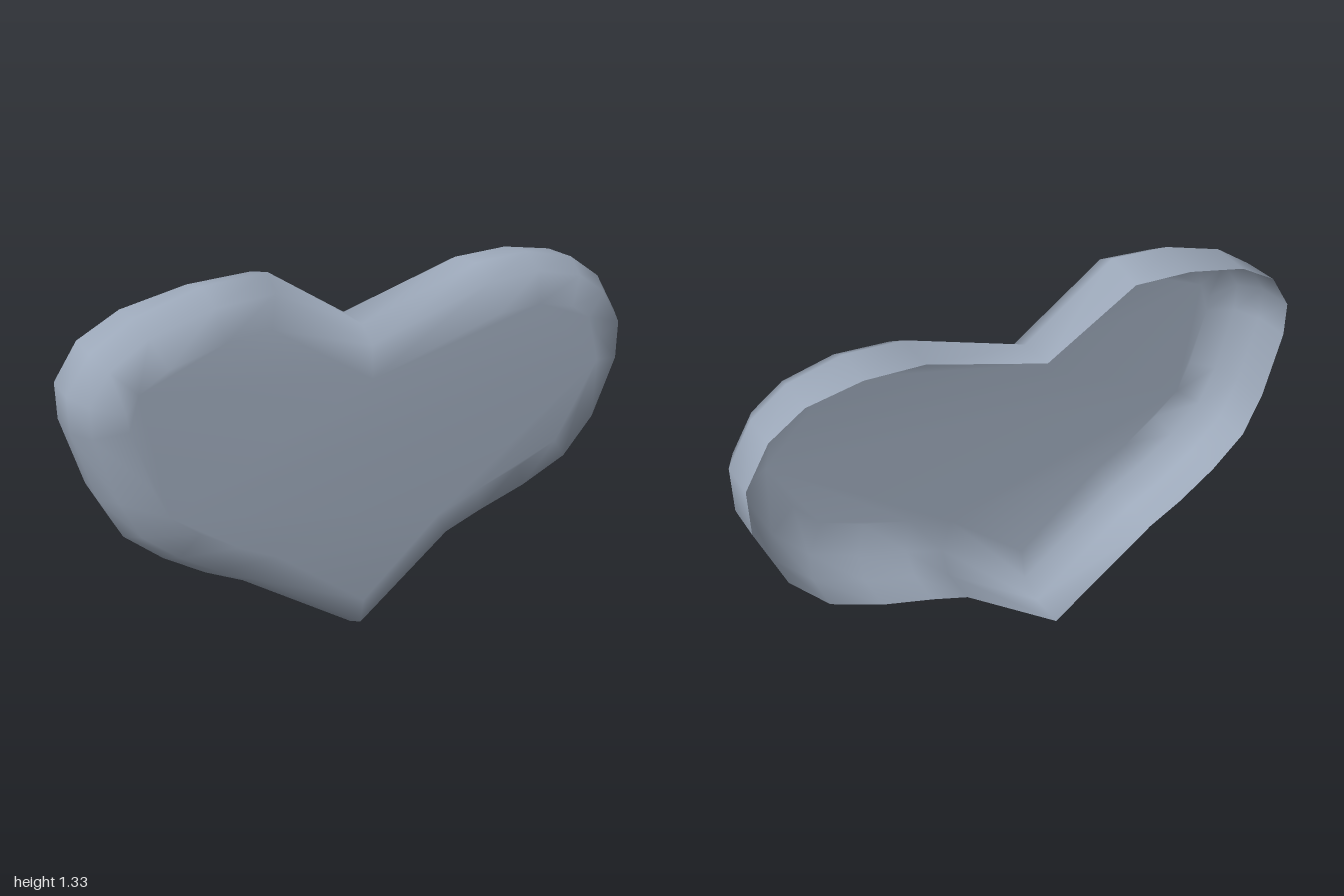
import * as THREE from 'three';

// Heart outline, counter-clockwise from the bottom tip
const OUTLINE = [
  [-0.07, 0], [0.29, 0.28], [0.42, 0.33], [0.6, 0.39], [0.78, 0.475], [0.905, 0.62],
  [0.995, 0.845], [0.995, 1.0], [0.91, 1.14], [0.79, 1.225], [0.605, 1.268], [0.405, 1.255],
  [-0.02, 1.11], [-0.345, 1.33], [-0.56, 1.315], [-0.78, 1.25], [-0.92, 1.16], [-1, 1.04],
  [-1, 0.92], [-0.935, 0.685], [-0.865, 0.54], [-0.74, 0.43], [-0.6, 0.34], [-0.47, 0.275],
].map(([x, y]) => new THREE.Vector2(x, y));

// Rings from the open back rim to the front face: depth and inset
const RINGS = [
  { z: -0.125, inset: 0 },
  { z: 0.01, inset: 0 },
  { z: 0.095, inset: 0.045 },
  { z: 0.125, inset: 0.15 },
];

// Moves every outline point inwards along the bisector of its two edges
function insetOutline(points, amount) {
  const n = points.length;
  return points.map((p, i) => {
    const a = p.clone().sub(points[(i + n - 1) % n]).normalize();
    const b = points[(i + 1) % n].clone().sub(p).normalize();
    const t = a.add(b).normalize();
    return new THREE.Vector2(p.x - t.y * amount, p.y + t.x * amount);
  });
}

function heartShellGeometry() {
  const n = OUTLINE.length;
  const positions = [];
  const indices = [];
  let ring;
  RINGS.forEach(({ z, inset }, k) => {
    ring = insetOutline(OUTLINE, inset);
    for (const p of ring) {
      // the lobes sit slightly lower on the back rim
      const y = k === 0 && p.y > 1.2 ? 1.2 + 0.73 * (p.y - 1.2) : p.y;
      positions.push(p.x, y, z);
    }
    if (k === 0) return;
    for (let i = 0; i < n; i++) {
      const j = (i + 1) % n;
      const lo = (k - 1) * n, hi = k * n;
      indices.push(lo + i, lo + j, hi + j, lo + i, hi + j, hi + i);
    }
  });
  // front face closes the last ring; the back stays open
  const base = (RINGS.length - 1) * n;
  for (const tri of THREE.ShapeUtils.triangulateShape(ring, [])) {
    indices.push(...tri.map((v) => v + base));
  }
  const geometry = new THREE.BufferGeometry();
  geometry.setAttribute('position', new THREE.Float32BufferAttribute(positions, 3));
  geometry.setIndex(indices);
  geometry.computeVertexNormals();
  return geometry;
}

export function createModel() {
  const group = new THREE.Group();
  group.name = 'heart';
  const material = new THREE.MeshStandardMaterial({ color: 0x9ca8b9, side: THREE.DoubleSide });
  material.name = 'blue grey';
  const shell = new THREE.Mesh(heartShellGeometry(), material);
  shell.name = 'heartShell';
  group.add(shell);
  return group;
}
